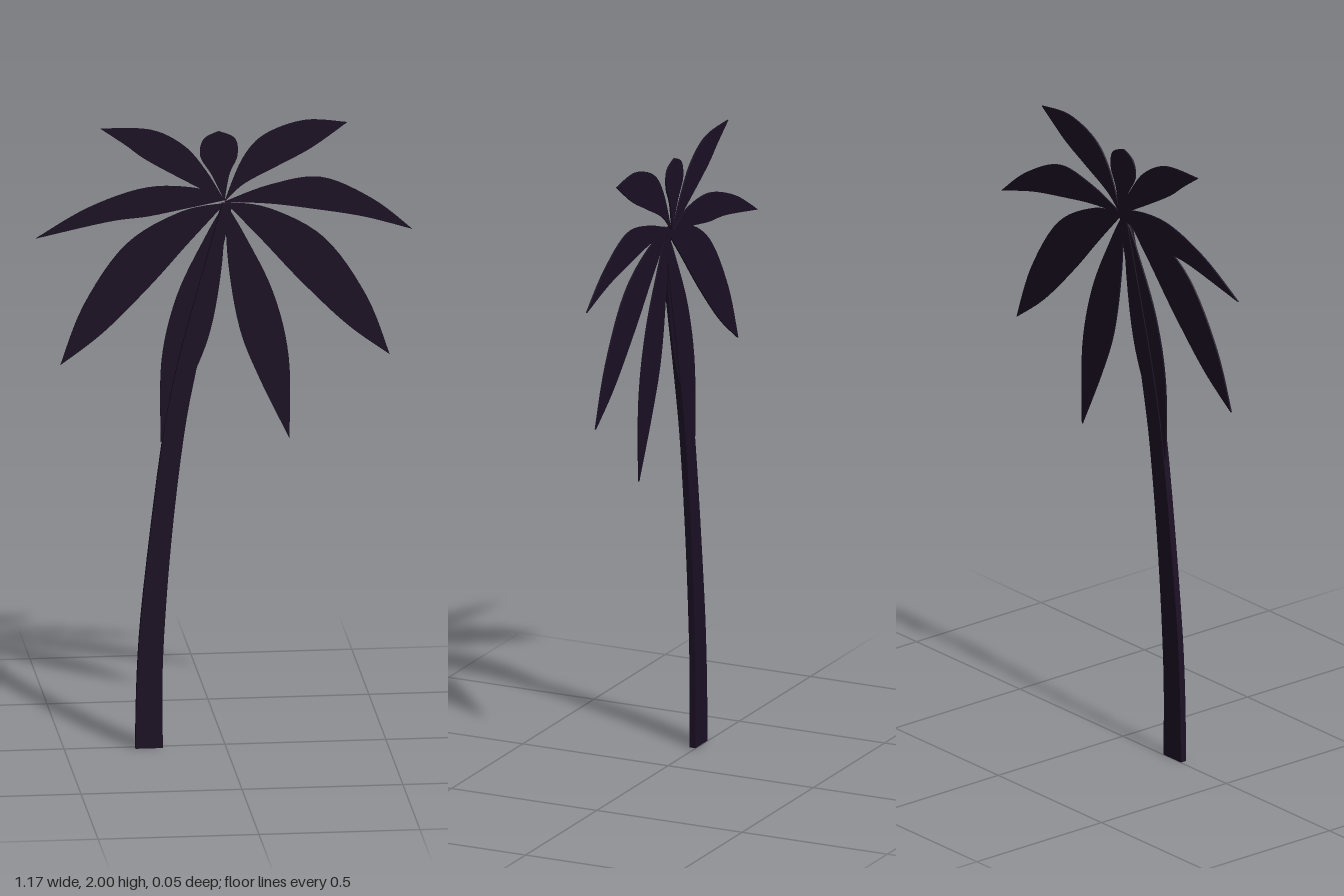
import * as THREE from 'three';

const material = new THREE.MeshStandardMaterial({ color: 0x1b1024 });

// Smooth outline made of two spline edges: the second returns to the start of the first
function outline(edgeA, edgeB) {
  const sample = (edge) =>
    new THREE.SplineCurve(edge.map(([x, y]) => new THREE.Vector2(x, y))).getPoints(24);
  const points = [...sample(edgeA), ...sample(edgeB)];
  return new THREE.Shape(points.filter((p, i) => i === 0 || p.distanceTo(points[i - 1]) > 1e-5));
}

function slab(name, shape, z, depth) {
  const geometry = new THREE.ExtrudeGeometry(shape, { depth, bevelEnabled: false });
  const mesh = new THREE.Mesh(geometry, material);
  mesh.name = name;
  mesh.position.z = z;
  return mesh;
}

const mirror = (edges) => edges.map((edge) => edge.map(([x, y]) => [-x, y]));

export function createModel() {
  const group = new THREE.Group();
  group.name = 'palmTree';
  const hub = [0, 1.745];

  // Frond outlines: edge from hub to tip, then edge from tip back to hub
  const low = [
    [hub, [0.06, 1.64], [0.15, 1.45], [0.198, 1.24], [0.2, 0.98]],
    [[0.2, 0.98], [0.105, 1.18], [0.045, 1.34], [0.01, 1.55], hub],
  ];
  const slanted = [
    [hub, [0.14, 1.72], [0.31, 1.62], [0.44, 1.43], [0.512, 1.24]],
    [[0.512, 1.24], [0.38, 1.34], [0.235, 1.485], [0.115, 1.62], hub],
  ];
  const side = [
    [hub, [0.14, 1.795], [0.3, 1.815], [0.46, 1.74], [0.582, 1.64]],
    [[0.582, 1.64], [0.43, 1.685], [0.27, 1.715], [0.14, 1.735], hub],
  ];
  const sideLeft = [
    [hub, [-0.08, 1.785], [-0.24, 1.793], [-0.42, 1.735], [-0.585, 1.64]],
    [[-0.585, 1.64], [-0.36, 1.687], [-0.24, 1.7], [-0.12, 1.722], hub],
  ];
  const upper = [
    [hub, [0.055, 1.88], [0.125, 1.957], [0.25, 1.999], [0.38, 1.988]],
    [[0.38, 1.988], [0.27, 1.91], [0.165, 1.855], [0.06, 1.8], hub],
  ];
  const upperLeft = [
    [hub, [-0.055, 1.84], [-0.125, 1.925], [-0.23, 1.98], [-0.385, 1.988]],
    [[-0.385, 1.988], [-0.31, 1.935], [-0.245, 1.885], [-0.135, 1.82], hub],
  ];
  const top = [
    [hub, [-0.04, 1.83], [-0.075, 1.89], [-0.065, 1.945], [-0.018, 1.97]],
    [[-0.018, 1.97], [0.033, 1.945], [0.04, 1.89], [0.015, 1.83], hub],
  ];

  // Fronds stacked in depth, clockwise from the right-hand side frond
  const fronds = [
    ['sideFrondRight', sideLeft],
    ['upperFrondRight', upperLeft],
    ['topFrond', top],
    ['upperFrondLeft', upper],
    ['sideFrondLeft', side],
    ['slantedFrondLeft', slanted],
    ['lowFrondLeft', low],
    ['lowFrondRight', mirror(low)],
    ['slantedFrondRight', mirror(slanted)],
  ];
  fronds.forEach(([name, edges], i) => {
    group.add(slab(name, outline(...edges), -0.0235 + i * 0.004, 0.005));
  });

  // Curved, tapering trunk
  const trunk = outline(
    [[-0.195, 0], [-0.195, 0.28], [-0.17, 0.65], [-0.13, 1.0], [-0.09, 1.22], [-0.03, 1.5], [0.02, 1.74]],
    [[-0.01, 1.745], [-0.07, 1.53], [-0.145, 1.25], [-0.197, 0.98], [-0.255, 0.5], [-0.274, 0.25], [-0.28, 0]],
  );
  group.add(slab('trunk', trunk, 0.001, 0.021));

  return group;
}
